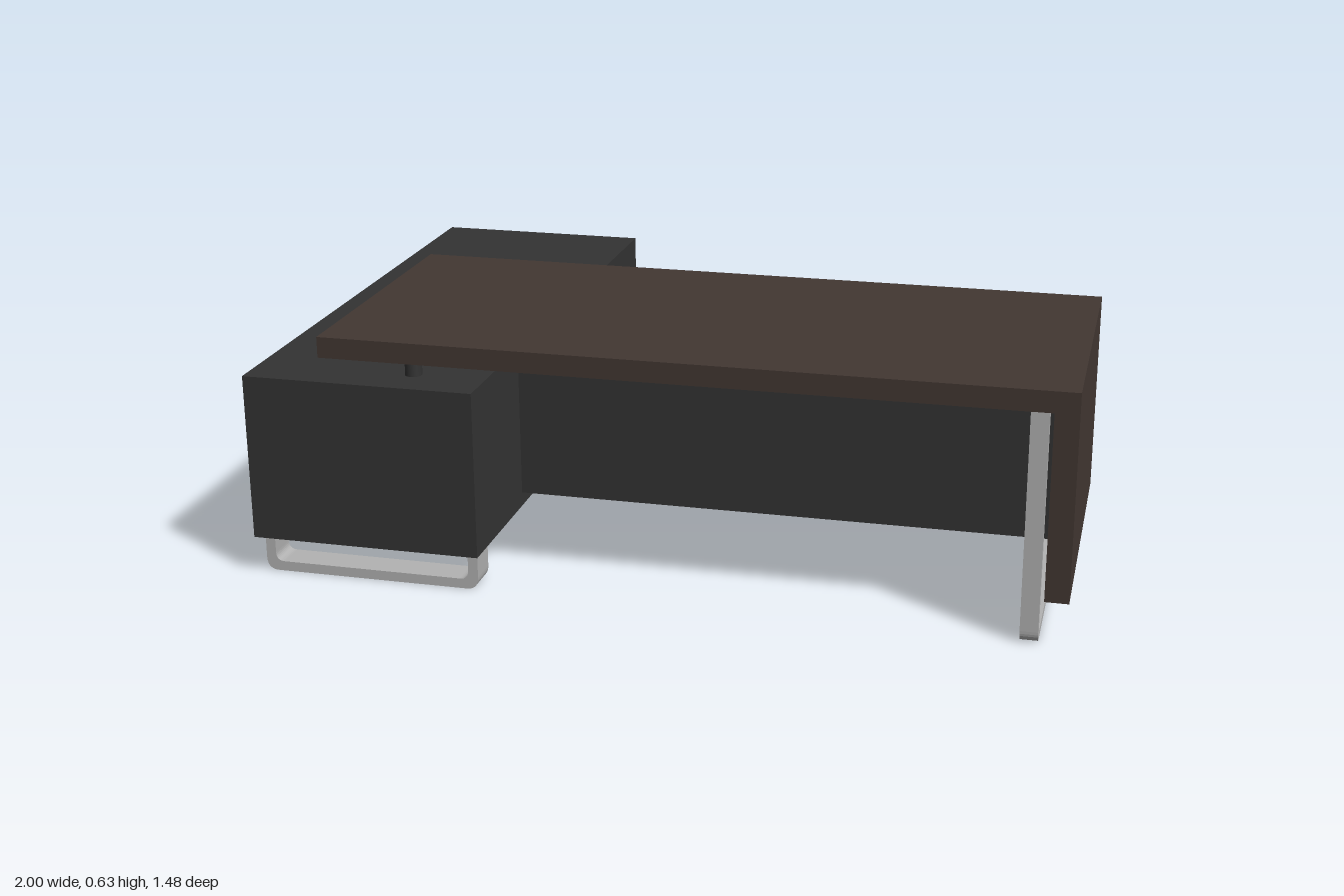
import * as THREE from 'three';

const mat = (color) => new THREE.MeshStandardMaterial({ color });
const carcass = mat(0x333333), wood = mat(0x423732), drawerGrey = mat(0x444444), metal = mat(0xb2b2b2);

export function createModel() {
  const model = new THREE.Group();

  const add = (parent, name, geometry, material) => {
    const mesh = new THREE.Mesh(geometry, material);
    mesh.name = name;
    parent.add(mesh);
    return mesh;
  };
  // Box given by its limits on each axis
  const box = (parent, name, material, [x0, x1], [y0, y1], [z0, z1]) => {
    const mesh = add(parent, name, new THREE.BoxGeometry(x1 - x0, y1 - y0, z1 - z0), material);
    mesh.position.set((x0 + x1) / 2, (y0 + y1) / 2, (z0 + z1) / 2);
    return mesh;
  };
  // U-shaped flat bar with rounded lower corners, centred on x and z
  const uFrame = (width, height, t, r, depth) => {
    const w = width / 2, i = w - t, ri = r - t * 0.4;
    const s = new THREE.Shape();
    s.moveTo(-w, height);
    s.lineTo(-w, r);
    s.quadraticCurveTo(-w, 0, -w + r, 0);
    s.lineTo(w - r, 0);
    s.quadraticCurveTo(w, 0, w, r);
    s.lineTo(w, height);
    s.lineTo(i, height);
    s.lineTo(i, t + ri);
    s.quadraticCurveTo(i, t, i - ri, t);
    s.lineTo(-i + ri, t);
    s.quadraticCurveTo(-i, t, -i, t + ri);
    s.lineTo(-i, height);
    s.closePath();
    return new THREE.ExtrudeGeometry(s, { depth, bevelEnabled: false, curveSegments: 8 }).translate(0, 0, -depth / 2);
  };

  // Desk: top, end panel, modesty panel and spacers
  const desk = new THREE.Group();
  desk.name = 'desk';
  model.add(desk);
  box(desk, 'desktop', wood, [-0.81, 1], [0.575, 0.627], [-0.06, 0.715]);
  box(desk, 'endPanel', wood, [0.943, 1], [0.117, 0.575], [-0.06, 0.715]);
  box(desk, 'modestyPanel', carcass, [-0.385, 0.943], [0.175, 0.575], [0.455, 0.48]);
  for (const z of [0.63, 0.03]) {
    add(desk, 'spacer', new THREE.CylinderGeometry(0.021, 0.021, 0.055, 24), carcass).position.set(-0.6, 0.5475, z);
  }
  const deskLeg = add(desk, 'deskLegFrame', uFrame(0.735, 0.575, 0.02, 0.03, 0.043), metal);
  deskLeg.rotation.y = Math.PI / 2;
  deskLeg.position.set(0.911, 0, 0.33);

  // Cabinet carcass
  const cabinet = new THREE.Group();
  cabinet.name = 'cabinet';
  model.add(cabinet);
  const xL = -1, xR = -0.417, zB = -0.74, zF = 0.737, yB = 0.108, yT = 0.49, t = 0.016;
  const inner = [yB, yT], yMid = [0.295, 0.308], zBay = -0.496, xBack = -0.7;
  box(cabinet, 'cabinetTop', carcass, [xL, xR], [yT, 0.521], [zB, zF]);
  box(cabinet, 'cabinetBottom', carcass, [xL, xR], [0.1, yB], [zB, zF]);
  box(cabinet, 'frontPanel', carcass, [xL, xR], inner, [zF - t, zF]);
  box(cabinet, 'sidePanel', carcass, [xR - t, xR], inner, [-0.08, zF - t]);
  box(cabinet, 'rearSidePanel', carcass, [xR - t, xR], inner, [zB, -0.49]);
  box(cabinet, 'outerSidePanel', carcass, [xL, xL + t], inner, [zB, zBay]);

  // Cubbies at the rear end, two by two
  const xMid = (xL + xR) / 2;
  box(cabinet, 'cubbyBack', carcass, [xL, xR - t], inner, [zBay, zBay + t]);
  box(cabinet, 'cubbyDivider', carcass, [xMid - t / 2, xMid + t / 2], inner, [zB, zBay]);
  box(cabinet, 'cubbyShelf', carcass, [xL + t, xR - t], yMid, [zB + 0.002, zBay]);

  // Open shelves along the outer side, two by two
  box(cabinet, 'shelfBack', carcass, [xBack, xBack + t], inner, [zBay + t, zF - t]);
  box(cabinet, 'shelfDivider', carcass, [xL, xBack], inner, [0.105, 0.105 + t]);
  box(cabinet, 'openShelf', carcass, [xL + 0.002, xBack], yMid, [zBay + t, zF - t]);

  // Drawers with slotted pulls, set in a bay on the inner side
  box(cabinet, 'drawerBayBack', carcass, [xR - 0.05, xR - 0.035], inner, [-0.49, -0.08]);
  box(cabinet, 'drawerRail', carcass, [xR - 0.035, xR - 0.004], yMid, [-0.49, -0.08]);
  const drawerFront = (w, h, slotY) => {
    const s = new THREE.Shape();
    s.moveTo(-w / 2, -h / 2);
    s.lineTo(w / 2, -h / 2);
    s.lineTo(w / 2, h / 2);
    s.lineTo(-w / 2, h / 2);
    s.closePath();
    const slot = new THREE.Path(), r = 0.014, a = 0.045;
    slot.absarc(a, slotY, r, -Math.PI / 2, Math.PI / 2, false);
    slot.absarc(-a, slotY, r, Math.PI / 2, Math.PI * 1.5, false);
    slot.closePath();
    s.holes.push(slot);
    return new THREE.ExtrudeGeometry(s, { depth: 0.02, bevelEnabled: false, curveSegments: 10 });
  };
  for (const [y0, y1] of [[0.111, 0.293], [0.307, 0.488]]) {
    const drawer = add(cabinet, 'drawerFront', drawerFront(0.402, y1 - y0, 0.048), drawerGrey);
    drawer.rotation.y = Math.PI / 2;
    drawer.position.set(xR - 0.021, (y0 + y1) / 2, -0.285);
  }

  // Cabinet legs
  for (const z of [0.663, -0.673]) {
    add(cabinet, 'cabinetLegFrame', uFrame(0.557, 0.1, 0.025, 0.032, 0.077), metal).position.set(xMid, 0, z);
  }

  return model;
}
